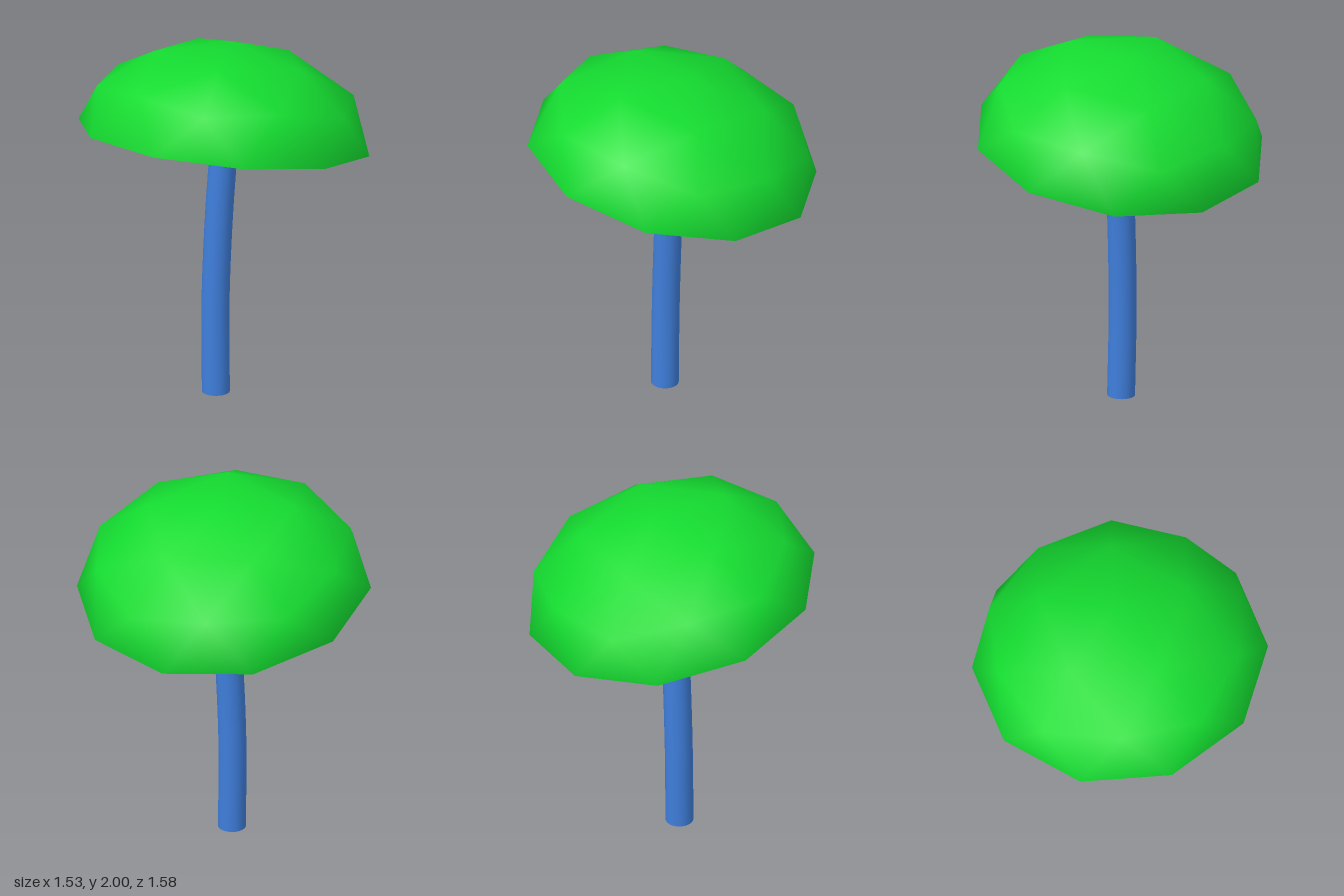
import * as THREE from 'three';

const RADIUS = 0.805, HEIGHT = 0.534;

function part(name, geometry, color) {
  const mesh = new THREE.Mesh(geometry, new THREE.MeshStandardMaterial({ color, side: THREE.DoubleSide }));
  mesh.name = name;
  return mesh;
}

// Upper half of a coarse smooth icosphere with one corner at the pole
function domeGeometry() {
  const ball = new THREE.IcosahedronGeometry(1, 1);
  ball.rotateX(-Math.atan((1 + Math.sqrt(5)) / 2)).rotateY(Math.PI / 2);
  const p = ball.attributes.position;
  const n = ball.attributes.normal;
  const pos = [], nor = [];
  for (let i = 0; i < p.count; i += 3) {
    if (Math.min(p.getY(i), p.getY(i + 1), p.getY(i + 2)) < -1e-4) continue;
    for (let j = i; j < i + 3; j++) {
      pos.push(p.getX(j), p.getY(j), p.getZ(j));
      nor.push(n.getX(j), n.getY(j), n.getZ(j));
    }
  }
  const dome = new THREE.BufferGeometry();
  dome.setAttribute('position', new THREE.Float32BufferAttribute(pos, 3));
  dome.setAttribute('normal', new THREE.Float32BufferAttribute(nor, 3));
  return dome.scale(RADIUS, HEIGHT, RADIUS);
}

export function createModel() {
  const model = new THREE.Group();
  model.name = 'mushroom';

  // Cap: dome and flat ten-sided underside, tipped up at the front
  const cap = new THREE.Group();
  cap.name = 'cap';
  cap.position.y = 1.475;
  cap.rotation.x = -0.194;
  const underside = new THREE.CircleGeometry(RADIUS, 10, Math.PI / 2).rotateX(Math.PI / 2);
  cap.add(part('capDome', domeGeometry(), 0x14dc30), part('capUnderside', underside, 0xc464bc));
  model.add(cap);

  // Stem: gently bent tube reaching just into the cap
  const path = new THREE.CatmullRomCurve3([
    new THREE.Vector3(-0.031, 0.003, 0.035),
    new THREE.Vector3(-0.037, 0.5, 0.029),
    new THREE.Vector3(-0.022, 1.0, 0.019),
    new THREE.Vector3(0.008, 1.5, 0.005),
  ]);
  model.add(part('stem', new THREE.TubeGeometry(path, 24, 0.076, 24), 0x3f7edb));

  // Closed foot of the stem
  const foot = part('stemFoot', new THREE.CircleGeometry(0.076, 24), 0x3f7edb);
  foot.position.copy(path.getPoint(0));
  foot.lookAt(foot.position.clone().sub(path.getTangent(0)));
  model.add(foot);

  return model;
}
